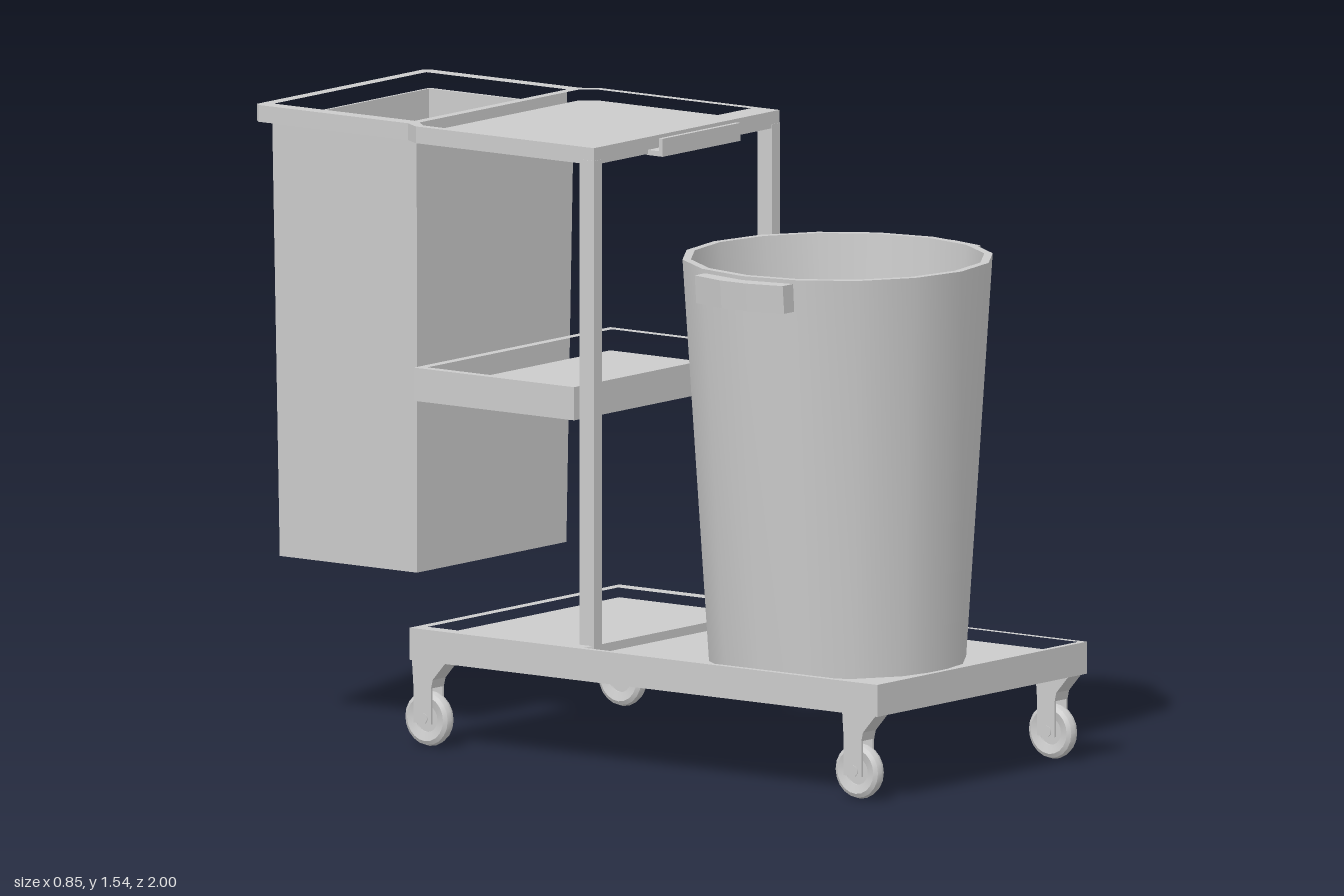
import * as THREE from 'three';
import { toCreasedNormals } from 'three/addons/utils/BufferGeometryUtils.js';

const grey = new THREE.MeshStandardMaterial({ color: 0xcccccc });

function add(parent, name, geometry, x = 0, y = 0, z = 0) {
  const mesh = new THREE.Mesh(geometry, grey);
  mesh.name = name;
  mesh.position.set(x, y, z);
  parent.add(mesh);
  return mesh;
}

function box(parent, name, x0, x1, y0, y1, z0, z1) {
  return add(parent, name, new THREE.BoxGeometry(x1 - x0, y1 - y0, z1 - z0),
    (x0 + x1) / 2, (y0 + y1) / 2, (z0 + z1) / 2);
}

// Corner points [x, z] of a rectangle symmetric in x
const rect = (w, z0, z1) => [[-w, z0], [w, z0], [w, z1], [-w, z1]];

// Upright slab with a plan outline in [x, z] and optional holes
function slab(parent, name, outline, holes, y0, y1) {
  const toVectors = (pts) => pts.map(([x, z]) => new THREE.Vector2(x, -z));
  const shape = new THREE.Shape(toVectors(outline));
  for (const h of holes) shape.holes.push(new THREE.Path(toVectors(h)));
  const g = new THREE.ExtrudeGeometry(shape, { depth: y1 - y0, bevelEnabled: false });
  return add(parent, name, g.rotateX(-Math.PI / 2), 0, y0, 0);
}

// Open vessel turned from a profile; creased so walls stay smooth and rims sharp
function vessel(points, sides, start = 0) {
  const pts = points.map(([r, y]) => new THREE.Vector2(r, y));
  return new THREE.LatheGeometry(pts, sides, start);
}

// Side plate of a caster fork: profile in [z, y] extruded along x, centred on x = 0
function sidePlate(profile, width) {
  const shape = new THREE.Shape(profile.map(([z, y]) => new THREE.Vector2(-z, y)));
  const g = new THREE.ExtrudeGeometry(shape, { depth: width, bevelEnabled: false });
  return g.translate(0, 0, -width / 2).rotateY(Math.PI / 2);
}

function caster(x, z) {
  const group = new THREE.Group();
  group.name = 'caster';
  group.position.set(x, 0, z);
  const head = [[0.072, 0.22], [-0.035, 0.22], [-0.03, 0.15], [0.025, 0.15], [0.03, 0.172]];
  add(group, 'forkHead', sidePlate(head, 0.052));
  const leg = [[0.025, 0.155], [-0.03, 0.155], [-0.03, 0.06], [0.025, 0.06]];
  for (const s of [-1, 1]) add(group, 'forkLeg', sidePlate(leg, 0.006), s * 0.023);
  // Tyre with rounded tread and a hub through its middle
  const tyre = vessel([[0.034, -0.012], [0.056, -0.018], [0.066, -0.012], [0.07, 0],
    [0.066, 0.012], [0.056, 0.018], [0.034, 0.012], [0.034, -0.012]], 20);
  add(group, 'tyre', toCreasedNormals(tyre, 0.7).rotateZ(Math.PI / 2), 0, 0.071, 0);
  add(group, 'wheelDisc', new THREE.CylinderGeometry(0.036, 0.036, 0.014, 20).rotateZ(Math.PI / 2), 0, 0.071, 0);
  add(group, 'axle', new THREE.CylinderGeometry(0.014, 0.014, 0.056, 12).rotateZ(Math.PI / 2), 0, 0.073, 0);
  return group;
}

export function createModel() {
  const model = new THREE.Group();
  model.name = 'cleaningCart';

  // Wheeled base tray
  const base = new THREE.Group();
  base.name = 'base';
  model.add(base);
  slab(base, 'baseFloor', rect(0.424, -0.457, 1), [], 0.217, 0.265);
  slab(base, 'baseRim', rect(0.424, -0.457, 1),
    [rect(0.408, 0.075, 0.984), rect(0.385, -0.43, 0.035)], 0.265, 0.297);
  for (const x of [-0.391, 0.391]) for (const z of [-0.42, 0.92]) base.add(caster(x, z));

  // Uprights
  for (const s of [-1, 1]) {
    const x = s * 0.36;
    box(model, 'post', x - 0.016, x + 0.016, 0.26, 1.51, 0.035, 0.081);
  }

  // Middle shelf tray
  slab(model, 'middleShelfFloor', rect(0.397, -0.464, 0.035), [], 0.86, 0.885);
  slab(model, 'middleShelfRim', rect(0.397, -0.464, 0.035), [rect(0.373, -0.44, 0.012)], 0.885, 0.943);

  // Top frame: wide front tray, narrower rear ring that holds the bin
  const outline = [[-0.375, 0.08], [-0.375, -0.475], [-0.348, -0.52], [-0.348, -0.985], [-0.335, -1],
    [0.335, -1], [0.348, -0.985], [0.348, -0.52], [0.375, -0.475], [0.375, 0.08]];
  const trayHole = [[-0.352, 0.008], [-0.352, -0.47], [-0.32, -0.505],
    [0.32, -0.505], [0.352, -0.47], [0.352, 0.008]];
  slab(model, 'topFrame', outline, [trayHole, rect(0.308, -0.968, -0.53)], 1.5, 1.542);
  slab(model, 'topTrayFloor', trayHole, [], 1.5, 1.515);

  // Front grip lip on the top frame
  box(model, 'gripPlate', -0.157, 0.157, 1.497, 1.51, 0.075, 0.126);
  box(model, 'gripLip', -0.157, 0.157, 1.497, 1.542, 0.114, 0.126);

  // Hanging rear bin, a tapered open box
  const k = Math.SQRT2;
  const bin = vessel([[0, 0.412], [0.95 * k, 0.412], [k, 1.502], [0.965 * k, 1.502],
    [0.915 * k, 0.428], [0, 0.428]], 4, Math.PI / 4);
  bin.scale(0.318, 1, 0.225);
  add(model, 'rearBin', toCreasedNormals(bin, 0.5), 0, 0, -0.741);

  // Round bucket
  const bucket = new THREE.Group();
  bucket.name = 'bucket';
  bucket.position.z = 0.55;
  model.add(bucket);
  const shell = vessel([[0, 0.265], [0.32, 0.265], [0.386, 1.27], [0.365, 1.27],
    [0.292, 0.29], [0, 0.29]], 16);
  add(bucket, 'bucketShell', toCreasedNormals(shell, 0.6));

  // Bucket side handles, leaning with the wall
  for (const s of [-1, 1]) {
    const plan = [[0.358, -0.137], [0.4, -0.137], [0.424, -0.04], [0.424, 0.04],
      [0.4, 0.137], [0.358, 0.137], [0.37, 0]].map(([x, z]) => [s * x, z]);
    const handle = slab(bucket, 'bucketHandle', plan, [], 1.19, 1.26);
    const p = handle.geometry.attributes.position;
    for (let i = 0; i < p.count; i++) if (p.getY(i) < 0.01) p.setX(i, p.getX(i) - s * 0.006);
    handle.geometry.computeVertexNormals();
  }

  return model;
}
